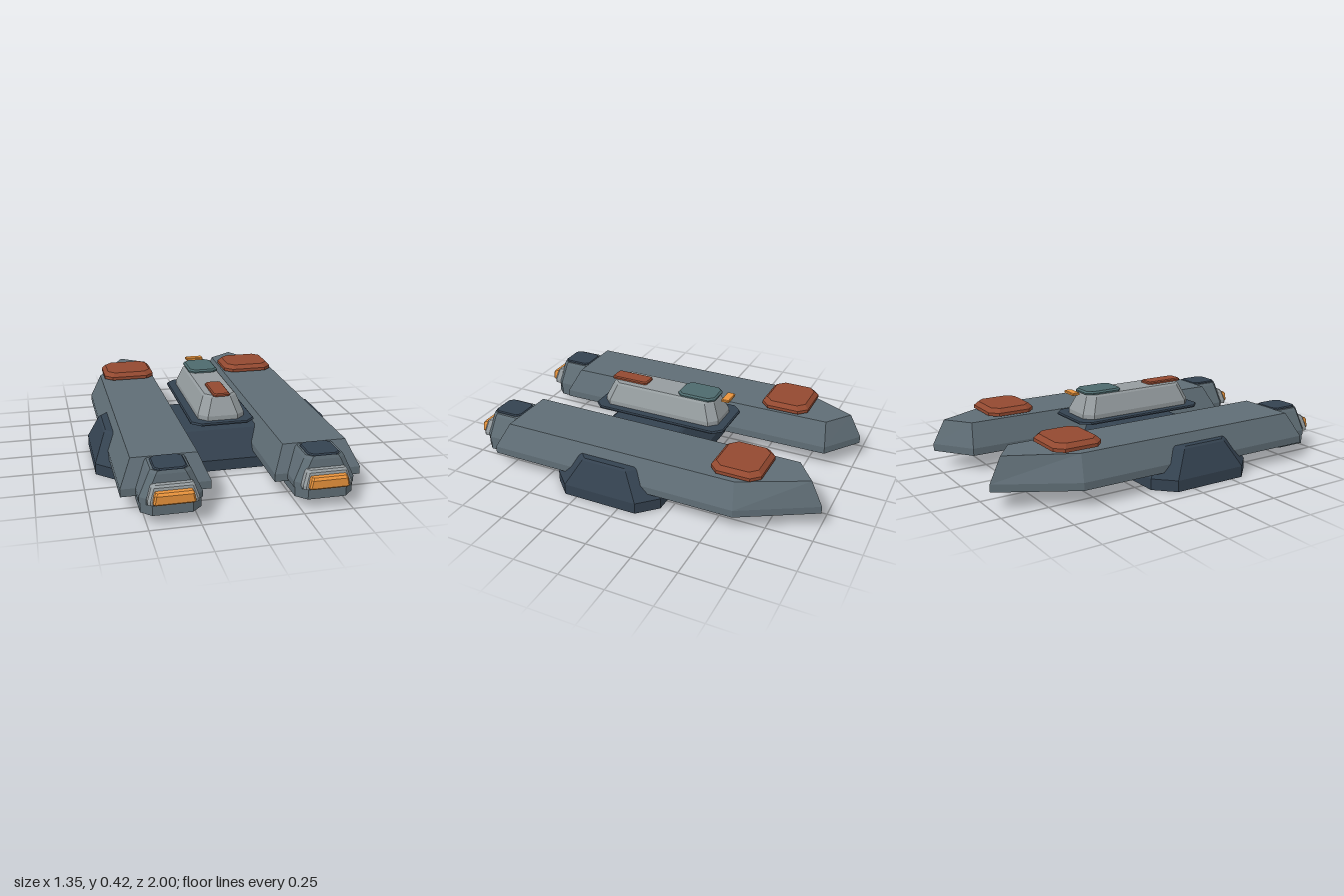
import * as THREE from 'three';

const paint = (color) => new THREE.MeshStandardMaterial({ color, flatShading: true });

// Rectangle in x/z with cut corners
function octagon(x0, x1, z0, z1, c) {
  return [
    [x1, z1 - c], [x1, z0 + c], [x1 - c, z0], [x0 + c, z0],
    [x0, z0 + c], [x0, z1 - c], [x0 + c, z1], [x1 - c, z1],
  ];
}

// Joins convex outlines stacked in y into a closed solid; side = -1 mirrors it in x
function loft(name, material, rings, side = 1) {
  let layers = rings.map(([y, pts]) => pts.map(([x, z]) => [x * side, y, z]));
  if (side < 0) layers = layers.map((l) => l.reverse());
  const pos = [];
  const tri = (a, b, c) => pos.push(...a, ...b, ...c);
  const n = layers[0].length;
  for (let k = 0; k + 1 < layers.length; k++) {
    const lo = layers[k], hi = layers[k + 1];
    for (let i = 0; i < n; i++) {
      const j = (i + 1) % n;
      tri(lo[i], lo[j], hi[j]);
      tri(lo[i], hi[j], hi[i]);
    }
  }
  const bottom = layers[0], top = layers[layers.length - 1];
  for (let i = 1; i + 1 < n; i++) {
    tri(top[0], top[i], top[i + 1]);
    tri(bottom[0], bottom[i + 1], bottom[i]);
  }
  const geo = new THREE.BufferGeometry();
  geo.setAttribute('position', new THREE.Float32BufferAttribute(pos, 3));
  geo.computeVertexNormals();
  const mesh = new THREE.Mesh(geo, material);
  mesh.name = name;
  return mesh;
}

// Slab with cut corners and a bevelled top edge
function slab(name, material, [x0, x1, y0, y1, z0, z1], cut, bevel, side = 1) {
  const base = octagon(x0, x1, z0, z1, cut);
  const top = octagon(x0 + bevel, x1 - bevel, z0 + bevel, z1 - bevel, cut * 0.85);
  return loft(name, material, [[y0, base], [y1 - Math.min(bevel, (y1 - y0) * 0.7), base], [y1, top]], side);
}

export function createModel() {
  const hullGrey = paint(0x5f6d75);
  const dark = paint(0x344250);
  const light = paint(0x959c9f);
  const red = paint(0x934930);
  const orange = paint(0xe8933c);
  const teal = paint(0x4d6a6d);
  const model = new THREE.Group();
  model.name = 'twinHullCraft';

  // Wide cross beam under both hulls
  const beamBase = octagon(-0.675, 0.675, -0.2, 0.42, 0.1);
  model.add(loft('crossBeam', dark, [
    [0, beamBase],
    [0.06, beamBase],
    [0.2, octagon(-0.615, 0.615, -0.11, 0.33, 0.09)],
    [0.21, octagon(-0.605, 0.605, -0.095, 0.315, 0.085)],
  ]));

  // Central pod on its thin deck
  model.add(slab('podDeck', dark, [-0.172, 0.172, 0.264, 0.276, -0.36, 0.43], 0.05, 0.006));
  const podBase = octagon(-0.125, 0.125, -0.31, 0.39, 0.045);
  model.add(loft('pod', light, [
    [0.276, podBase],
    [0.3, podBase],
    [0.39, octagon(-0.09, 0.09, -0.27, 0.35, 0.04)],
    [0.4, octagon(-0.08, 0.08, -0.26, 0.34, 0.035)],
  ]));
  model.add(slab('podWindow', teal, [-0.083, 0.083, 0.402, 0.419, -0.278, -0.055], 0.03, 0.009));
  model.add(slab('podStripe', red, [-0.045, 0.045, 0.4, 0.415, 0.15, 0.37], 0.012, 0.006));
  model.add(slab('podTailLight', orange, [-0.05, 0.05, 0.405, 0.418, -0.356, -0.31], 0.005, 0.004));

  for (const side of [1, -1]) {
    const half = new THREE.Group();
    half.name = side > 0 ? 'leftHull' : 'rightHull';

    // Long hull with a pointed rear end
    const hullBase = [[0.605, 0.81], [0.605, -0.61], [0.38, -1], [0.175, -0.85], [0.16, 0.81]];
    half.add(loft('hull', hullGrey, [
      [0.09, hullBase],
      [0.13, hullBase],
      [0.26, [[0.545, 0.745], [0.545, -0.59], [0.372, -0.935], [0.23, -0.83], [0.215, 0.745]]],
    ], side));
    half.add(slab('hullPad', red, [0.23, 0.527, 0.27, 0.31, -0.71, -0.44], 0.045, 0.022, side));

    // Front block with cap, plate and lamp
    half.add(slab('frontBlockBase', hullGrey, [0.232, 0.525, 0.05, 0.105, 0.69, 0.955], 0.05, 0.006, side));
    const block = octagon(0.225, 0.53, 0.7, 0.935, 0.03);
    half.add(loft('frontBlock', hullGrey, [
      [0.1, block],
      [0.13, block],
      [0.24, octagon(0.275, 0.48, 0.715, 0.92, 0.03)],
      [0.255, octagon(0.285, 0.47, 0.725, 0.915, 0.03)],
    ], side));
    half.add(slab('blockCap', dark, [0.295, 0.457, 0.254, 0.264, 0.745, 0.915], 0.025, 0.006, side));
    const plate = octagon(0.252, 0.498, 0.91, 0.975, 0.012);
    half.add(loft('lampPlate', light, [
      [0.112, plate],
      [0.13, plate],
      [0.19, octagon(0.272, 0.478, 0.91, 0.96, 0.012)],
      [0.2, octagon(0.28, 0.47, 0.91, 0.95, 0.012)],
    ], side));
    half.add(loft('lamp', orange, [
      [0.118, octagon(0.278, 0.472, 0.95, 0.995, 0.008)],
      [0.125, octagon(0.274, 0.476, 0.95, 1, 0.008)],
      [0.165, octagon(0.282, 0.468, 0.95, 1, 0.008)],
      [0.177, octagon(0.288, 0.462, 0.95, 0.99, 0.008)],
    ], side));
    model.add(half);
  }
  return model;
}
